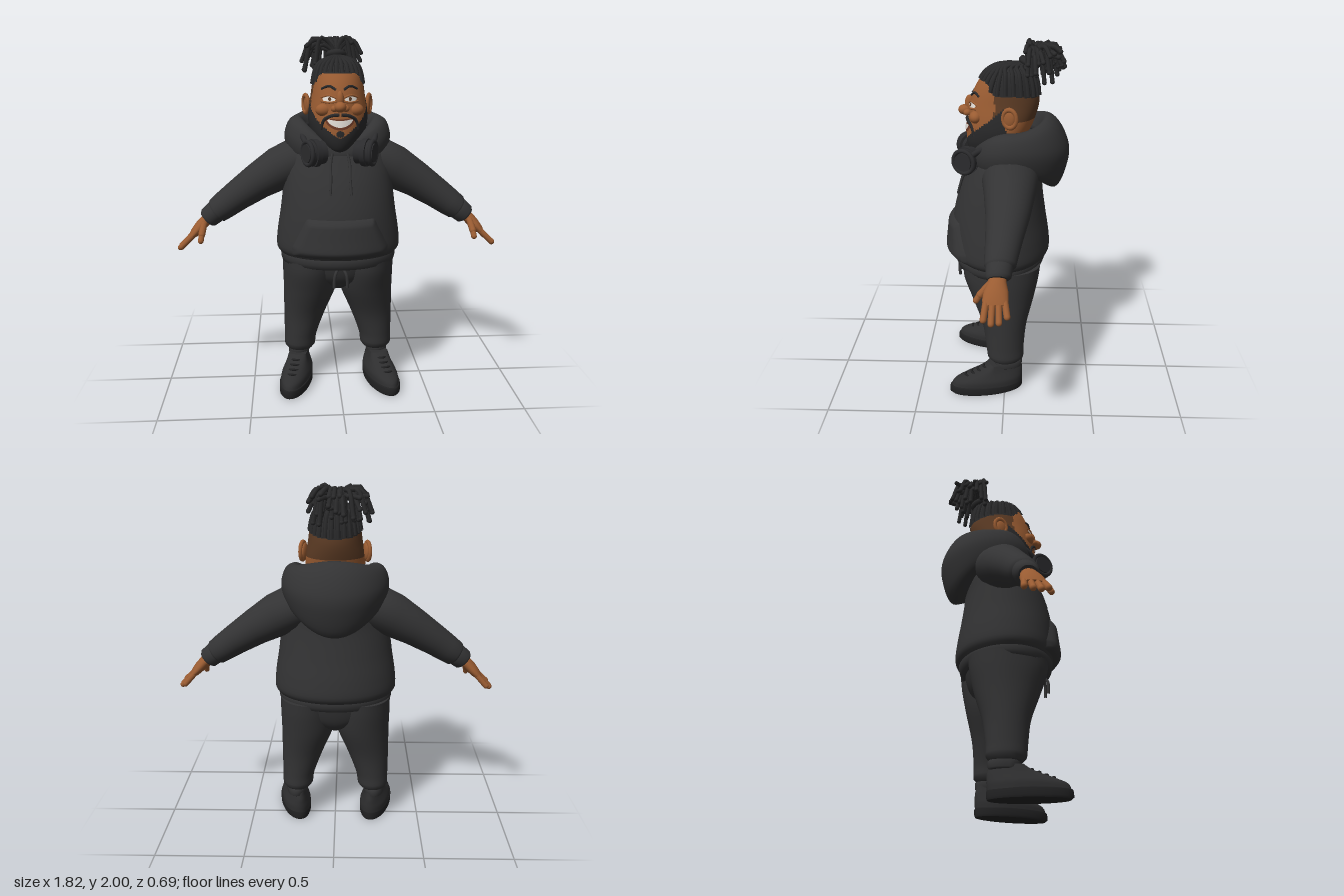
import * as THREE from 'three';

const mat = (name, color) => Object.assign(new THREE.MeshStandardMaterial({ color }), { name });
const M = {
  cloth: mat('charcoal cloth', 0x333334), hair: mat('black hair', 0x29292a), skin: mat('brown skin', 0x9a5c32),
  fade: mat('shaved fade', 0x5c3b24), white: mat('teeth and eye white', 0xe4dfd8), shoe: mat('shoe leather', 0x2e2e2f),
  sole: mat('shoe sole', 0x222223), phones: mat('headphone plastic', 0x2b2b2d), mouth: mat('lips', 0x6e3a26),
};
const V = (x, y, z) => new THREE.Vector3(x, y, z);
const add = (parent, name, geo, material) => {
  const m = new THREE.Mesh(geo, material); m.name = name; parent.add(m); return m;
};

// Skin a list of rings; classify(centroid) picks a material index per quad
function skinRings(rings, cap = true, classify = null) {
  const n = rings[0].length, mid = r => { const c = V(0, 0, 0); r.forEach(p => c.add(p)); c.divideScalar(n); return r.map(() => c); };
  const last = rings[rings.length - 1];
  const R = cap ? [mid(rings[0]), rings[0], ...rings, last, mid(last)] : rings;
  const pos = [], buckets = [[], [], []];
  R.forEach(r => r.forEach(p => pos.push(p.x, p.y, p.z)));
  for (let j = 0; j < R.length - 1; j++) for (let i = 0; i < n; i++) {
    const k = (i + 1) % n, a = j * n + i, b = j * n + k, c = a + n, d = b + n;
    const m = classify ? classify(R[j][i].clone().add(R[j + 1][k]).multiplyScalar(0.5)) : 0;
    buckets[m].push(a, b, d, a, d, c);
  }
  const g = new THREE.BufferGeometry();
  g.setAttribute('position', new THREE.Float32BufferAttribute(pos, 3));
  g.setIndex(buckets.flat());
  if (classify) { let s = 0; buckets.forEach((b, i) => { g.addGroup(s, b.length, i); s += b.length; }); }
  g.computeVertexNormals();
  return g;
}
// Horizontal section: row = [y, halfWidth, zFront, zBack, centreX]
const section = (row, t, cz = 0) => V((row[4] || 0) + row[1] * Math.sin(t), row[0],
  cz + (Math.cos(t) > 0 ? row[2] - cz : cz - row[3]) * Math.cos(t));
const ringOf = (row, n, cz) => Array.from({ length: n }, (_, i) => section(row, i / n * Math.PI * 2, cz));
const stack = (rows, n = 36, cz = 0) => skinRings(rows.map(r => ringOf(r, n, cz)));

// Smooth row interpolation by height
function sample(rows, y) {
  let i = 0;
  while (i < rows.length - 2 && y > rows[i + 1][0]) i++;
  const A = rows[i], B = rows[i + 1], P = rows[Math.max(i - 1, 0)], Q = rows[Math.min(i + 2, rows.length - 1)];
  const h = B[0] - A[0], t = (y - A[0]) / h;
  return A.map((a, c) => {
    if (c === 0) return y;
    const m0 = (B[c] - P[c]) / (B[0] - P[0]) * h, m1 = (Q[c] - a) / (Q[0] - A[0]) * h;
    return a * (1 + 2 * t) * (1 - t) ** 2 + m0 * t * (1 - t) ** 2 + B[c] * t * t * (3 - 2 * t) + m1 * t * t * (t - 1);
  });
}
const smoothRows = (rows, n) => Array.from({ length: n + 1 }, (_, i) =>
  sample(rows, rows[0][0] + (rows[rows.length - 1][0] - rows[0][0]) * i / n));
const frontZ = (rows, x, y, cz = 0) => { const r = sample(rows, y); return cz + (r[2] - cz) * Math.sqrt(Math.max(0, 1 - (x / r[1]) ** 2)); };

// Patch lying on a front surface: fn(u,v) -> [x, y, offset]
function patch(rows, fn, nu = 16, nv = 6, cz = 0) {
  const g = new THREE.PlaneGeometry(1, 1, nu, nv), p = g.attributes.position;
  for (let i = 0; i < p.count; i++) {
    const [x, y, o] = fn(p.getX(i) + 0.5, p.getY(i) + 0.5);
    p.setXYZ(i, x, y, frontZ(rows, x, y, cz) + o);
  }
  g.computeVertexNormals();
  return g;
}
// Limb in the xy plane: rows [x, y, z, radius across, radius in z]
function limb(rows, n = 24) {
  return skinRings(rows.map((r, j) => {
    const a = rows[Math.max(j - 1, 0)], b = rows[Math.min(j + 1, rows.length - 1)];
    const d = V(b[0] - a[0], b[1] - a[1], 0).normalize();
    return Array.from({ length: n }, (_, i) => {
      const t = i / n * Math.PI * 2, s = Math.sin(t) * r[3];
      return V(r[0] + d.y * s, r[1] - d.x * s, r[2] + Math.cos(t) * r[4]);
    });
  }));
}
const tube = (pts, r, seg = 16, sides = 7) => new THREE.TubeGeometry(new THREE.CatmullRomCurve3(pts.map(p => V(...p))), seg, r, sides);
function capsule(parent, name, a, b, r, m) {
  const A = V(...a), B = V(...b), d = B.clone().sub(A);
  const c = add(parent, name, new THREE.CapsuleGeometry(r, d.length(), 5, 10), m);
  c.position.copy(A).add(B).multiplyScalar(0.5);
  c.quaternion.setFromUnitVectors(V(0, 1, 0), d.normalize());
}
function ball(parent, name, p, s, m) {
  const b = add(parent, name, new THREE.SphereGeometry(1, 20, 14), m);
  b.position.set(...p); b.scale.set(...s); return b;
}

const TORSO = [[0.80, 0.325, 0.285, -0.225], [0.83, 0.348, 0.305, -0.248], [0.92, 0.345, 0.305, -0.245], [1.05, 0.325, 0.295, -0.225],
  [1.2, 0.305, 0.255, -0.205], [1.32, 0.28, 0.205, -0.2], [1.40, 0.235, 0.165, -0.18], [1.46, 0.15, 0.12, -0.13]];
const HEAD = [[1.37, 0.05, 0.16, 0.0], [1.40, 0.10, 0.195, -0.03], [1.46, 0.142, 0.215, -0.08], [1.53, 0.163, 0.213, -0.13],
  [1.60, 0.163, 0.205, -0.16], [1.68, 0.15, 0.193, -0.18], [1.75, 0.14, 0.17, -0.178], [1.81, 0.127, 0.135, -0.165],
  [1.85, 0.105, 0.1, -0.15], [1.875, 0.06, 0.05, -0.12]];
const hairline = a => 1.8 - 0.065 * THREE.MathUtils.smoothstep(a, 0.7, 1.25) - 0.02 * THREE.MathUtils.smoothstep(a, 1.6, 3);

function buildHead(g) {
  const classify = p => {
    const a = Math.abs(Math.atan2(p.x, p.z));
    if (p.y > hairline(a) || (a < 1.6 && p.y < 1.46 + 0.14 * a)) return 1;
    return a > 1.2 && p.y > 1.6 ? 2 : 0;
  };
  add(g, 'head', skinRings(smoothRows(HEAD, 90).map(r => ringOf(r, 96)), true, classify), [M.skin, M.hair, M.fade]);
  add(g, 'neck', stack([[1.32, 0.13, 0.13, -0.13], [1.5, 0.12, 0.11, -0.13]]), M.skin);
  ball(g, 'noseBridge', [0, 1.665, 0.195], [0.022, 0.05, 0.028], M.skin);
  ball(g, 'noseTip', [0, 1.632, 0.222], [0.032, 0.028, 0.038], M.skin);
  // Smile: lips, then teeth, each a band between two curves
  const band = (w, y, curve, h, o) => (u, v) => {
    const k = 2 * u - 1; return [k * w, y + curve * k * k + (v - 0.5) * h * Math.sqrt(1.001 - k * k), o];
  };
  add(g, 'lips', patch(HEAD, band(0.08, 1.538, 0.022, 0.058, 0.005)), M.mouth);
  add(g, 'teeth', patch(HEAD, band(0.07, 1.541, 0.021, 0.036, 0.009)), M.white);
  add(g, 'chinTuft', patch(HEAD, band(0.022, 1.488, 0, 0.035, 0.005)), M.hair);
  for (const s of [-1, 1]) {
    const at = (x, y, o) => [s * x, y, frontZ(HEAD, x, y) + o];
    ball(g, 'cheek', [s * 0.085, 1.612, 0.158], [0.045, 0.034, 0.036], M.skin);
    ball(g, 'nostril', [s * 0.03, 1.623, 0.208], [0.02, 0.018, 0.022], M.skin);
    add(g, 'moustache', tube([at(0.004, 1.59, 0.005), at(0.045, 1.585, 0.006), at(0.085, 1.56, 0.002), at(0.1, 1.51, 0)], 0.009), M.hair);
    add(g, 'eyebrow', tube([at(0.02, 1.718, 0.002), at(0.055, 1.738, 0.003), at(0.095, 1.722, 0)], 0.007), M.hair);
    add(g, 'eyeWhite', patch(HEAD, (u, v) => {
      const k = 2 * u - 1; return [s * 0.058 + k * 0.034, 1.672 + (v - 0.5) * 0.042 * Math.sqrt(1.001 - k * k), 0.004];
    }), M.white);
    add(g, 'iris', patch(HEAD, (u, v) => {
      const k = 2 * u - 1; return [s * 0.055 + k * 0.009, 1.672 + (v - 0.5) * 0.02 * Math.sqrt(1.001 - k * k), 0.007];
    }, 8, 2), M.fade);
    for (const [name, y, bend] of [['upperEyelid', 1.69, 0.012], ['lowerEyelid', 1.653, -0.005]])
      add(g, name, tube([at(0.02, y - bend, 0.003), at(0.058, y, 0.005), at(0.098, y - bend, 0.002)], 0.006), M.skin);
    ball(g, 'ear', [s * 0.168, 1.625, -0.02], [0.016, 0.05, 0.036], M.skin).rotation.y = s * -0.35;
    const rim = add(g, 'earRim', new THREE.TorusGeometry(0.038, 0.011, 8, 20), M.skin);
    rim.position.set(s * 0.177, 1.628, -0.025); rim.rotation.y = Math.PI / 2 - s * 0.35; rim.scale.y = 1.25;
  }
}

function buildHair(g) {
  // Locks combed back to the tie
  for (let i = 0; i < 26; i++) {
    const a = (i + 0.5) / 26 * Math.PI * 2, y0 = hairline(Math.abs(a > Math.PI ? a - 2 * Math.PI : a)) + 0.005, pts = [];
    for (let k = 0; k <= 5; k++) {
      const p = section(sample(HEAD, y0 + (1.872 - y0) * k / 5), a); pts.push([p.x, p.y, p.z]);
    }
    pts.push([0, 1.885, -0.11]);
    add(g, 'combedLock', tube(pts, 0.012, 16, 6), M.hair);
  }
  const tie = add(g, 'hairTie', new THREE.TorusGeometry(0.04, 0.02, 8, 20), M.hair);
  tie.position.set(0, 1.89, -0.125); tie.rotation.x = Math.PI / 2 - 0.4;
  // Loose dreadlocks fanning up and back
  let seed = 7; const rnd = () => (seed = (seed * 16807) % 2147483647) / 2147483647;
  for (let i = 0; i < 58; i++) {
    const f = -1.9 + 3.8 * ((i * 0.618) % 1), R = 0.1 + 0.09 * rnd(), h = 0.03 + 0.06 * rnd(), drop = -0.1 + 0.16 * rnd();
    const x = Math.sin(f) * R * 0.93, z = -Math.cos(f) * R, e = Math.min(drop, h);
    add(g, 'dreadlock', tube([[0, 1.87, -0.13], [x * 0.25 - 0.01, 1.9 + h * 0.55, -0.14 + z * 0.25],
      [x * 0.7 - 0.025, 1.9 + h, -0.14 + z * 0.7], [x - 0.03, 1.9 + e, -0.14 + z]], 0.0125, 12, 6), M.hair);
    ball(g, 'dreadTip', [x - 0.03, 1.9 + e, -0.14 + z], [0.0125, 0.0125, 0.0125], M.hair);
  }
}

function buildHoodie(g) {
  add(g, 'torso', skinRings(smoothRows(TORSO, 40).map(r => ringOf(r, 56, 0.03))), M.cloth);
  add(g, 'hem', stack([[0.745, 0.305, 0.27, -0.2], [0.752, 0.32, 0.284, -0.216], [0.775, 0.327, 0.292, -0.224],
    [0.8, 0.328, 0.294, -0.23], [0.812, 0.322, 0.285, -0.22]], 56, 0.03), M.cloth);
  add(g, 'pocket', patch(TORSO, (u, v) => {
    const k = 2 * u - 1, w = v < 0.25 ? 0.27 : 0.27 - 0.085 * (v - 0.25) / 0.75;
    const e = Math.min(1, Math.min(1 - Math.abs(k), v * 0.8, (1 - v) * 0.9) * 7);
    return [k * w, 0.812 + 0.228 * v, -0.012 + 0.052 * Math.sqrt(e) * (1 - 0.3 * v)];
  }, 36, 24, 0.03), M.cloth);
  // Hood: [radius, height] profiles at front, side and back, blended around the neck
  const F = [[.19, 1.32], [.205, 1.33], [.213, 1.36], [.21, 1.39], [.195, 1.425], [.17, 1.42], [.14, 1.36]];
  const S = [[.25, 1.33], [.275, 1.36], [.295, 1.42], [.295, 1.48], [.265, 1.545], [.21, 1.56], [.15, 1.45]];
  const B = [[.16, 1.23], [.25, 1.205], [.312, 1.35], [.315, 1.45], [.25, 1.58], [.19, 1.61], [.13, 1.48]];
  const curve = P => new THREE.CatmullRomCurve3(P.map(p => V(p[0], p[1], 0))).getPoints(30);
  const [f, s, b] = [F, S, B].map(curve);
  add(g, 'hood', skinRings(f.map((_, k) => Array.from({ length: 56 }, (_, i) => {
    const t = i / 56 * Math.PI * 2, c = Math.cos(t), w = c * c;
    const p = s[k].clone().lerp(c > 0 ? f[k] : b[k], w);
    return V(p.x * Math.sin(t), p.y, -0.03 + p.x * c);
  })), false), M.cloth);
  for (const x of [-0.052, 0.052])
    add(g, 'drawstring', tube([[x * 0.8, 1.38, 0.19], [x, 1.32, 0.213], [x, 1.25, 0.243], [x * 1.1, 1.165, 0.268]], 0.0075), M.cloth);
}

// One side of everything mirrored, on the model's left
function buildSide(g) {
  add(g, 'sleeve', limb([[.17, 1.325, -.03, .1, .14], [.24, 1.31, -.03, .125, .15], [.33, 1.265, -.03, .123, .135], [.45, 1.195, -.025, .104, .115],
    [.57, 1.115, -.01, .088, .095], [.64, 1.065, 0, .08, .086], [.685, 1.033, .005, .073, .08], [.697, 1.025, .008, .06, .066]]), M.cloth);
  add(g, 'sleeveCuff', limb([[.685, 1.033, .008, .058, .062], [.695, 1.026, .01, .064, .068], [.735, .994, .012, .06, .064], [.745, .985, .014, .048, .05]]), M.cloth);
  add(g, 'palm', limb([[.72, 1.005, .015, .034, .04], [.755, .975, .018, .032, .046], [.785, .943, .022, .032, .06], [.815, .91, .024, .026, .064],
    [.835, .89, .024, .016, .058]]), M.skin);
  [[-.034, .868, .85], [.004, .892, .832], [.042, .896, .828], [.08, .885, .842]].forEach(([z, x, y]) =>
    capsule(g, 'finger', [.812, .912, .024 + (z - .024) * .78], [x, y, z], .0165, M.skin));
  capsule(g, 'thumb', [.758, .965, .055], [.768, .915, .1], .019, M.skin);
  capsule(g, 'thumbTip', [.768, .915, .1], [.772, .885, .12], .016, M.skin);
  add(g, 'trouserLeg', stack(smoothRows([[.195, .075, .08, -.09, .226], [.21, .088, .098, -.108, .226], [.28, .094, .107, -.11, .221],
    [.42, .12, .13, -.125, .196], [.58, .153, .19, -.165, .163], [.7, .162, .232, -.19, .157], [.78, .162, .24, -.2, .157]], 30)), M.cloth);
  add(g, 'trouserCuff', stack([[.15, .052, .045, -.09, .232], [.157, .06, .058, -.1, .232], [.19, .062, .066, -.102, .23], [.2, .055, .05, -.09, .23]]), M.cloth);
  add(g, 'ankle', stack([[.08, .045, .04, -.07, .228], [.16, .045, .04, -.07, .228]]), M.skin);
  // Shoe, toe turned out
  const shoe = new THREE.Group(); shoe.name = 'shoe'; g.add(shoe);
  shoe.position.set(.232, 0, .02); shoe.rotation.y = .22;
  add(shoe, 'sole', stack([[0, .083, .295, -.122], [.012, .088, .308, -.127], [.045, .088, .305, -.127], [.05, .084, .3, -.123]], 36, .08), M.sole);
  const upper = smoothRows([[.045, .084, .298, -.123], [.08, .083, .28, -.126], [.105, .074, .225, -.126], [.13, .064, .155, -.125],
    [.15, .058, .105, -.12], [.172, .052, .07, -.115]], 14);
  add(shoe, 'shoeUpper', stack(upper, 36, .05), M.shoe);
  for (let i = 0; i < 4; i++) {
    const y = .108 + i * .014, z = .215 - i * .036;
    add(shoe, 'lace', tube([[-.04, y - .012, z - .03], [0, y + .004, z], [.04, y - .012, z - .03]], .007, 10, 6), M.sole);
  }
  // Headphone ear cup
  const cup = new THREE.Group(); cup.name = 'earCup'; g.add(cup);
  cup.position.set(.138, 1.388, .205); cup.rotation.y = -.45;
  [[-.035, .034, .062], [0, .028, .075], [.03, .026, .07], [.046, .012, .05]].forEach(([x, h, r]) => {
    const c = add(cup, 'cupLayer', new THREE.CylinderGeometry(r, r, h, 28), M.phones);
    c.rotation.z = Math.PI / 2; c.position.x = x;
  });
  const ring = add(cup, 'cupRim', new THREE.TorusGeometry(.062, .012, 8, 28), M.phones);
  ring.rotation.y = Math.PI / 2; ring.position.x = .04;
  // Waist cord
  add(g, 'waistCord', tube([[.012, .75, .245], [.03, .72, .268], [.036, .68, .27], [.036, .645, .268]], .009), M.cloth);
}

export function createModel() {
  const model = new THREE.Group(); model.name = 'standingMan';
  const part = (name, build) => { const g = new THREE.Group(); g.name = name; build(g); model.add(g); return g; };
  part('headGroup', buildHead);
  part('hairGroup', buildHair);
  part('hoodie', buildHoodie);
  part('leftSide', buildSide);
  part('rightSide', buildSide).scale.x = -1;
  add(model, 'trouserSeat', stack(smoothRows([[.575, .03, .08, -.07], [.61, .1, .15, -.13], [.67, .24, .205, -.17], [.78, .3, .235, -.2]], 14)), M.cloth);
  add(model, 'headphoneBand', tube([[.165, 1.41, .19], [.195, 1.46, .13], [.205, 1.5, .03], [.14, 1.5, -.13], [0, 1.5, -.18],
    [-.14, 1.5, -.13], [-.205, 1.5, .03], [-.195, 1.46, .13], [-.165, 1.41, .19]], .016, 60, 10), M.phones);
  return model;
}
